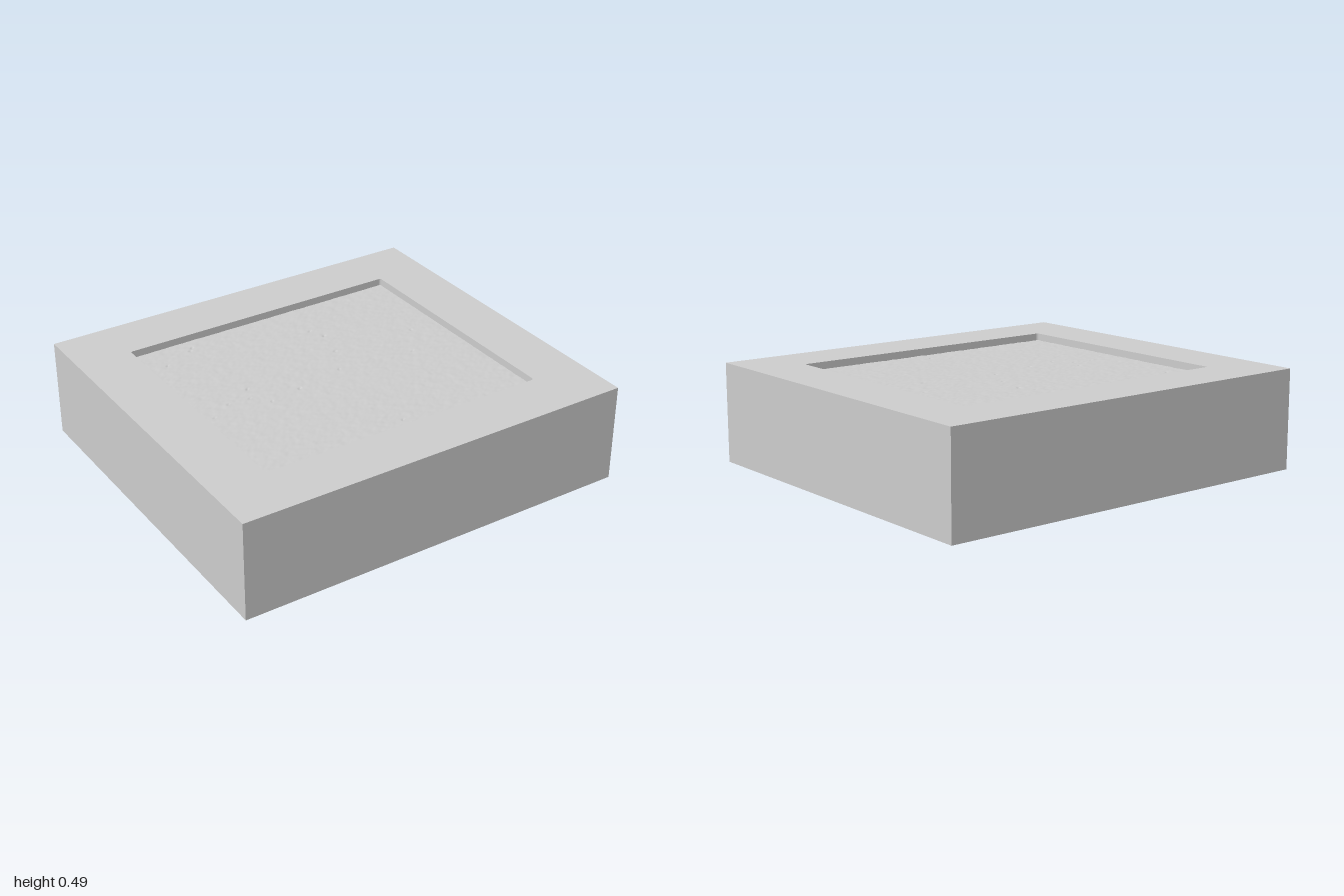
import * as THREE from 'three';

const W = 2, H = 0.49, D = 1.8;              // outer block
const PX = 0.725, PZ = 0.627, R = 0.012;     // recess half sizes and corner radius
const FLOOR = H - 0.036;

// Repeatable lattice value in 0..1, and smooth noise between lattice points
function hash(i, j) {
  const s = Math.sin(i * 127.1 + j * 311.7) * 43758.5453;
  return s - Math.floor(s);
}
function noise(x, y) {
  const i = Math.floor(x), j = Math.floor(y);
  const u = THREE.MathUtils.smoothstep(x - i, 0, 1);
  const v = THREE.MathUtils.smoothstep(y - j, 0, 1);
  const { lerp } = THREE.MathUtils;
  return lerp(lerp(hash(i, j), hash(i + 1, j), u), lerp(hash(i, j + 1), hash(i + 1, j + 1), u), v);
}

function roundedRect(path, a, b, r) {
  path.absarc(a - r, b - r, r, 0, Math.PI / 2);
  path.absarc(-a + r, b - r, r, Math.PI / 2, Math.PI);
  path.absarc(-a + r, -b + r, r, Math.PI, Math.PI * 1.5);
  path.absarc(a - r, -b + r, r, Math.PI * 1.5, Math.PI * 2);
  path.closePath();
  return path;
}

export function createModel() {
  const group = new THREE.Group();
  const grey = new THREE.MeshStandardMaterial({ color: 0xcccccc });
  const add = (name, geometry, material = grey) => {
    const mesh = new THREE.Mesh(geometry, material);
    mesh.name = name;
    group.add(mesh);
    return mesh;
  };

  // Sides and underside: a box without its top face
  const block = new THREE.BoxGeometry(W, H, D);
  const index = Array.from(block.index.array);
  index.splice(12, 6);
  block.setIndex(index);
  block.clearGroups();
  add('block', block).position.y = H / 2;

  // Flat rim around the recess
  const rim = new THREE.Shape();
  rim.moveTo(-W / 2, -D / 2).lineTo(W / 2, -D / 2).lineTo(W / 2, D / 2).lineTo(-W / 2, D / 2);
  rim.closePath();
  const hole = roundedRect(new THREE.Path(), PX, PZ, R);
  rim.holes.push(hole);
  add('rim', new THREE.ShapeGeometry(rim, 4).rotateX(-Math.PI / 2)).position.y = H;

  // Recess walls, facing inwards
  const loop = hole.getPoints(4);
  const corners = [];
  loop.forEach((p, i) => {
    const q = loop[(i + 1) % loop.length];
    const low = FLOOR - 0.006;
    corners.push(p.x, H, -p.y, q.x, H, -q.y, q.x, low, -q.y);
    corners.push(p.x, H, -p.y, q.x, low, -q.y, p.x, low, -p.y);
  });
  const walls = new THREE.BufferGeometry();
  walls.setAttribute('position', new THREE.Float32BufferAttribute(corners, 3));
  walls.computeVertexNormals();
  add('recessWalls', walls, new THREE.MeshStandardMaterial({ color: 0xcccccc, side: THREE.DoubleSide }));

  // Rough stone floor: fine grain plus a few small pits
  const floor = new THREE.PlaneGeometry(PX * 2, PZ * 2, 210, 200).rotateX(-Math.PI / 2);
  const pos = floor.attributes.position;
  const pits = Array.from({ length: 16 }, (_, i) => [
    (hash(i, 5) * 2 - 1) * PX * 0.95, (hash(i, 9) * 2 - 1) * PZ * 0.95]);
  for (let i = 0; i < pos.count; i++) {
    const x = pos.getX(i), z = pos.getZ(i);
    let y = (noise(x * 32 + 100, z * 60 + 100) - 0.5) * 0.002;
    y += (noise(x * 75 + 300, z * 100 + 300) - 0.5) * 0.0012;
    if (pits.some(([a, b]) => Math.hypot(x - a, z - b) < 0.006)) y -= 0.005;
    pos.setY(i, y);
  }
  floor.computeVertexNormals();
  add('roughFloor', floor).position.y = FLOOR;

  return group;
}
